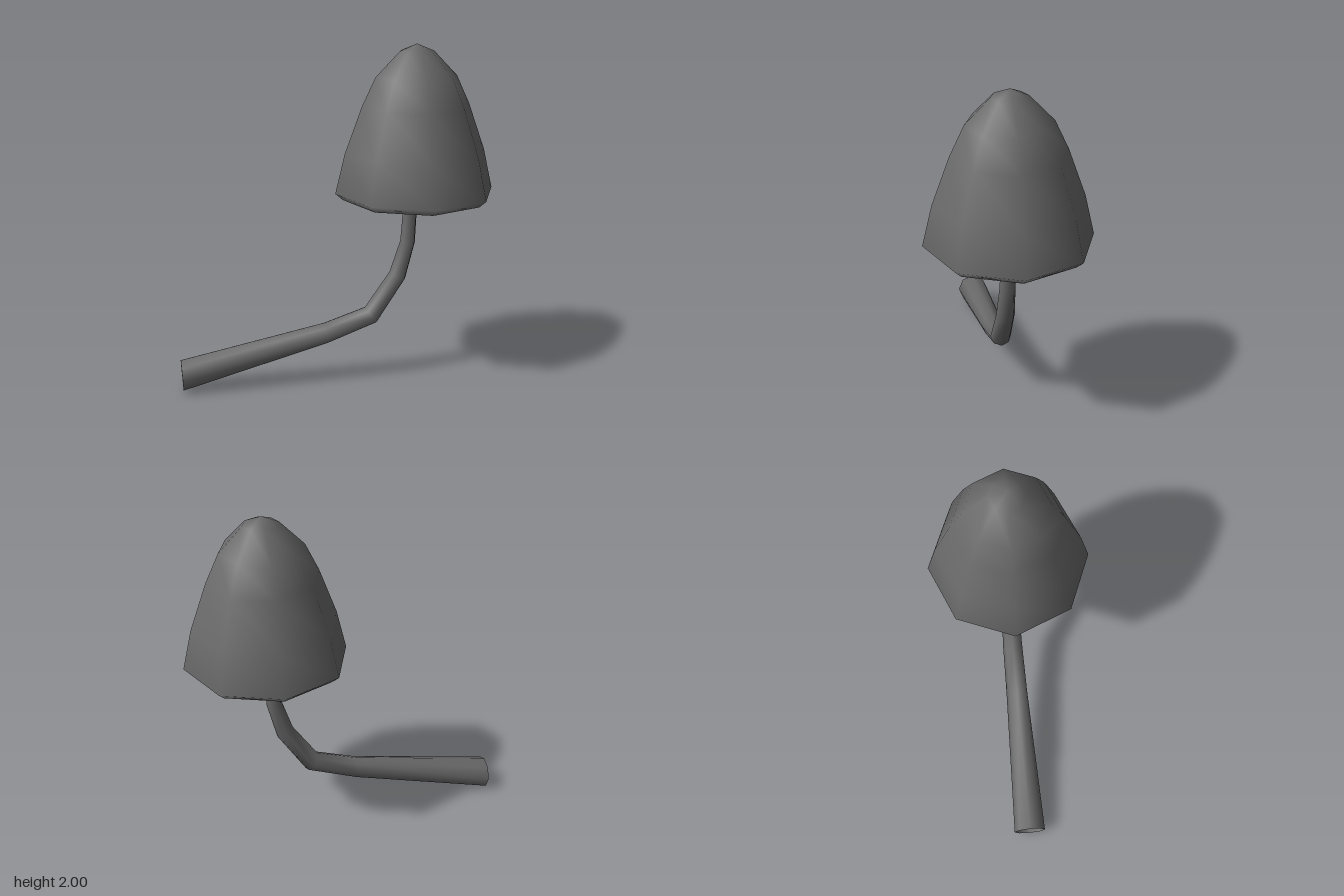
import * as THREE from 'three';
import { mergeVertices } from 'three/addons/utils/BufferGeometryUtils.js';

const SIDES = 8;

// Weld seams and poles so the shading runs smoothly all round
function smooth(geometry) {
  geometry.deleteAttribute('uv');
  geometry.deleteAttribute('normal');
  const welded = mergeVertices(geometry, 1e-4);
  welded.computeVertexNormals();
  return welded;
}

// Hollow cap: tapering inner wall from apex down, around the lip, then up the outside
function capGeometry() {
  const profile = [
    [0, 1.88], [0.3, 1.45],
    [0.424, 1.113], [0.467, 1.151],
    [0.412, 1.383], [0.314, 1.653], [0.237, 1.816], [0.1, 1.958], [0, 2],
  ].map(([r, y]) => new THREE.Vector2(r, y));
  return smooth(new THREE.LatheGeometry(profile, SIDES));
}

// Bent tapering tube: each ring is given by its left and right edge points in the xy plane
function stemGeometry() {
  const rings = [
    [0.425, 1.86, 0.493, 1.86],
    [0.4, 1.12, 0.48, 1.12],
    [0.38, 0.85, 0.468, 0.836],
    [0.318, 0.662, 0.412, 0.612],
    [0.17, 0.447, 0.243, 0.35],
    [-0.07, 0.366, -0.063, 0.235],
    [-0.925, 0.19, -0.915, 0],
  ];
  const geometry = new THREE.CylinderGeometry(1, 1, 1, SIDES, rings.length - 1, true);
  const pos = geometry.attributes.position;
  for (let i = 0; i < pos.count; i++) {
    const [lx, ly, rx, ry] = rings[Math.floor(i / (SIDES + 1))];
    const across = pos.getX(i);
    const radius = Math.hypot(rx - lx, ry - ly) / 2;
    pos.setXYZ(
      i,
      (lx + rx) / 2 + across * (rx - lx) / 2,
      (ly + ry) / 2 + across * (ry - ly) / 2,
      pos.getZ(i) * radius
    );
  }
  return smooth(geometry);
}

export function createModel() {
  const group = new THREE.Group();
  group.name = 'mushroom';

  const cap = new THREE.Mesh(capGeometry(), new THREE.MeshStandardMaterial({ color: 0x6a6a6a }));
  cap.name = 'cap';
  cap.position.x = 0.459;

  // The stem is open at its foot
  const stem = new THREE.Mesh(
    stemGeometry(),
    new THREE.MeshStandardMaterial({ color: 0x6a6a6a, side: THREE.DoubleSide })
  );
  stem.name = 'stem';

  group.add(cap, stem);
  return group;
}
